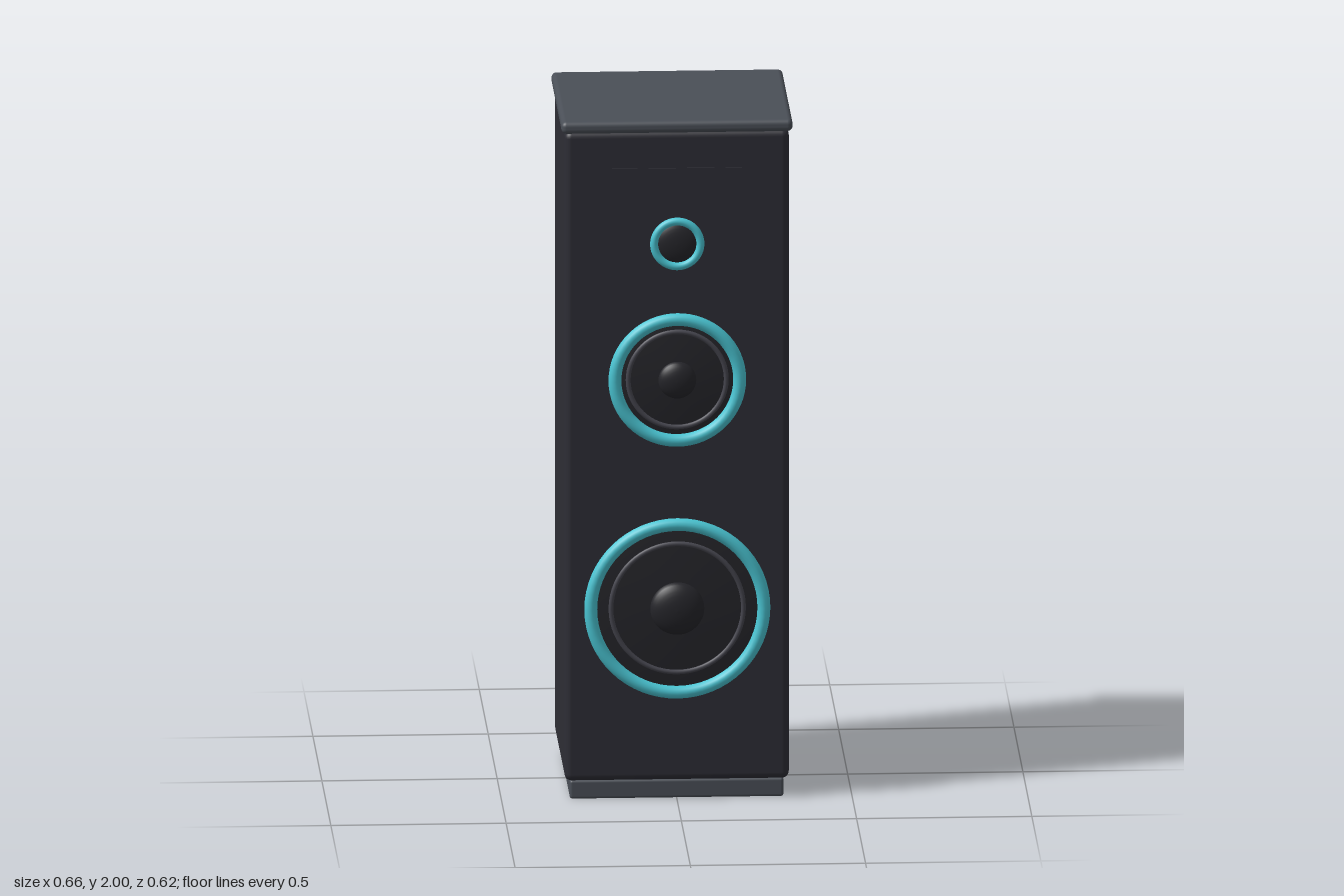
import * as THREE from 'three';
import { RoundedBoxGeometry } from 'three/addons/geometries/RoundedBoxGeometry.js';

const paint = (name, color) => {
  const m = new THREE.MeshStandardMaterial({ color });
  m.name = name;
  return m;
};

export function createModel() {
  const model = new THREE.Group();
  model.name = 'floorSpeaker';
  const body = paint('charcoal', 0x2d2d35);
  const trim = paint('slate grey', 0x4a4f57);
  const teal = paint('teal', 0x4ac6d4);
  const dark = paint('cone black', 0x25252a);
  const grey = paint('surround grey', 0x45454e);

  const add = (parent, name, geometry, material, x = 0, y = 0, z = 0) => {
    const mesh = new THREE.Mesh(geometry, material);
    mesh.name = name;
    mesh.position.set(x, y, z);
    parent.add(mesh);
    return mesh;
  };
  // Rounded box from its y and z limits
  const block = (name, w, y0, y1, z0, z1, r, material) =>
    add(model, name, new RoundedBoxGeometry(w, y1 - y0, z1 - z0, 3, r), material,
      0, (y0 + y1) / 2, (z0 + z1) / 2);

  // Cabinet, plinth, lid and badge plate
  block('cabinet', 0.64, 0.055, 1.968, -0.299, 0.256, 0.02, body);
  block('plinth', 0.61, 0, 0.055, -0.284, 0.241, 0.008, trim);
  block('lid', 0.66, 1.964, 2, -0.312, 0.267, 0.015, trim);
  add(model, 'frontPlate', new THREE.BoxGeometry(0.37, 0.05, 0.006), body, 0, 1.835, 0.257);

  // Surface of revolution facing +z, from [radius, z] points ordered rim to centre
  const turned = (points) => new THREE.LatheGeometry(
    points.map(([r, z]) => new THREE.Vector2(r, z)), 48).rotateX(Math.PI / 2);
  // Shallow cap of given radius and height
  const dome = (r, h) => turned(Array.from({ length: 9 }, (_, i) => {
    const a = (i / 8) * Math.PI / 2;
    return [r * Math.cos(a), h * Math.sin(a)];
  }));

  const driver = (name, y, ringRadius, tube, ringZ) => {
    const g = new THREE.Group();
    g.name = name;
    g.position.set(0, y, 0.255);
    add(g, 'rim', new THREE.TorusGeometry(ringRadius, tube, 14, 64), teal, 0, 0, ringZ);
    model.add(g);
    return g;
  };

  // Woofer and midrange: rim, shallow cone, surround ring and dust cap
  for (const [name, y, ring, surround, cap, capHeight] of [
    ['woofer', 0.567, 0.247, 0.189, 0.077, 0.034],
    ['midrange', 1.24, 0.178, 0.14, 0.054, 0.026],
  ]) {
    const g = driver(name, y, ring, 0.0185, 0.0195);
    add(g, 'cone', turned([[ring, 0.006], [surround, 0.013], [cap, 0.02], [0, 0.022]]), dark);
    add(g, 'surround', new THREE.TorusGeometry(surround, 0.007, 10, 64), grey, 0, 0, 0.014);
    add(g, 'dustCap', dome(cap, capHeight), dark, 0, 0, 0.021);
  }

  // Tweeter: rim and dome
  const tweeter = driver('tweeter', 1.64, 0.066, 0.0115, 0.0165);
  add(tweeter, 'tweeterDome', dome(0.062, 0.022), dark, 0, 0, 0.003);

  return model;
}
